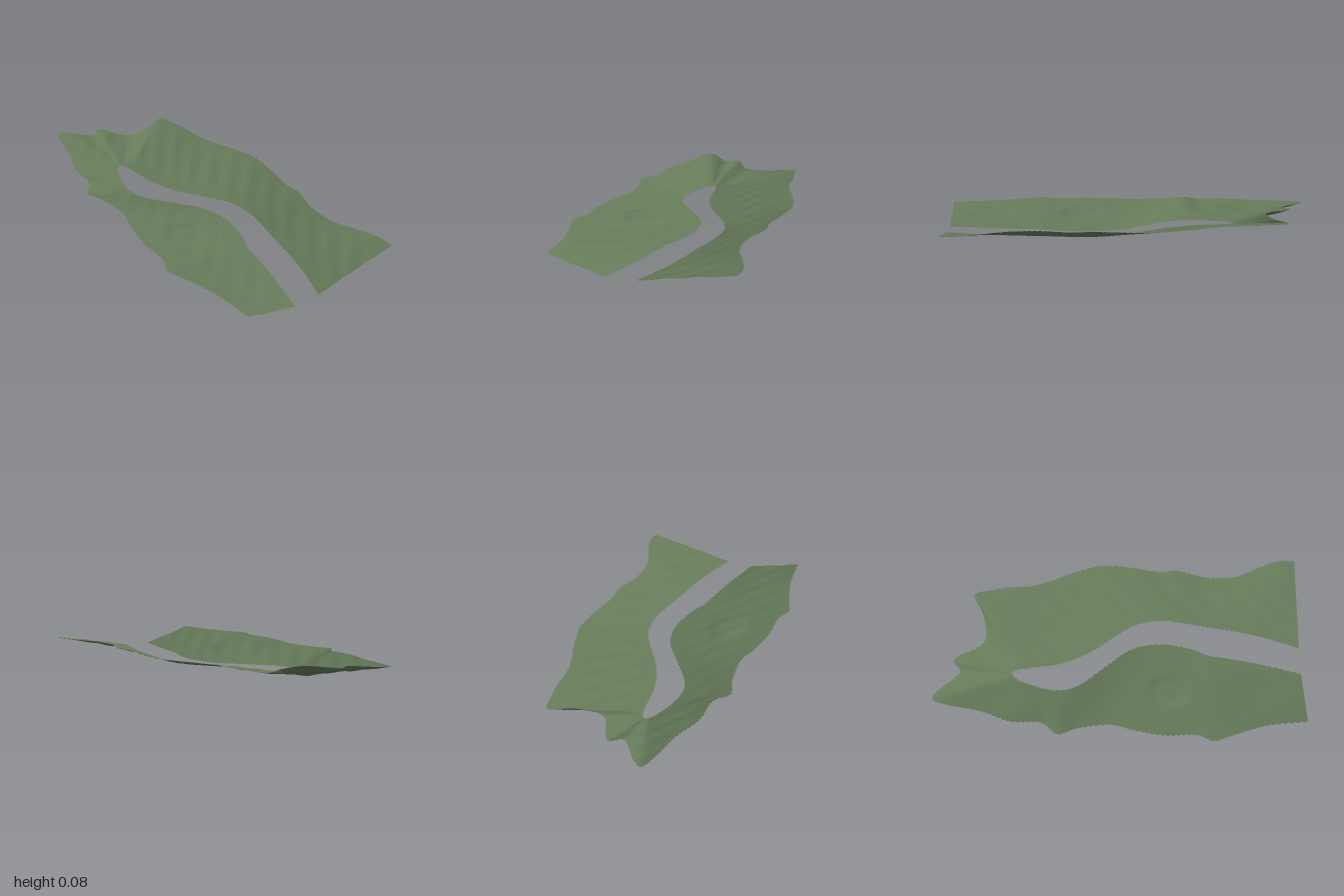
import * as THREE from 'three';

// Outer rim stations [x, z], from the front right-hand end around the back
const OUTER = [
  [-0.425, 1], [-0.44, 0.8], [-0.47, 0.67], [-0.5, 0.57], [-0.52, 0.49], [-0.485, 0.4],
  [-0.485, 0.24], [-0.455, 0.08], [-0.42, -0.05], [-0.435, -0.22], [-0.465, -0.33], [-0.4, -0.42],
  [-0.39, -0.58], [-0.33, -0.74], [-0.295, -0.9], [-0.26, -0.995], [-0.205, -0.965], [-0.11, -0.855],
  [-0.03, -0.885], [0.06, -0.73], [0.22, -0.735], [0.34, -0.785], [0.37, -0.69], [0.385, -0.58],
  [0.39, -0.47], [0.42, -0.36], [0.46, -0.25], [0.505, -0.08], [0.485, 0.11], [0.46, 0.24],
  [0.465, 0.35], [0.42, 0.5], [0.42, 0.66], [0.465, 0.78], [0.51, 0.9], [0.51, 1],
];

// Matching stations on the bank of the winding channel
const BANK = [
  [-0.13, 1], [-0.075, 0.8], [-0.045, 0.67], [-0.025, 0.57], [-0.01, 0.49], [0.03, 0.4],
  [0.06, 0.24], [0.035, 0.08], [-0.05, -0.05], [-0.165, -0.21], [-0.195, -0.32], [-0.18, -0.42],
  [-0.155, -0.49], [-0.14, -0.53], [-0.125, -0.555], [-0.115, -0.57], [-0.108, -0.576], [-0.1, -0.58],
  [-0.09, -0.58], [-0.08, -0.57], [-0.072, -0.55], [-0.068, -0.52], [-0.062, -0.48], [-0.056, -0.42],
  [-0.045, -0.33], [-0.01, -0.22], [0.04, -0.12], [0.12, 0], [0.18, 0.11], [0.2, 0.24],
  [0.185, 0.36], [0.155, 0.5], [0.125, 0.66], [0.095, 0.78], [0.06, 0.89], [0.02, 1],
];

const LOW = 0.006;
const HIGH = 0.09;
const ALONG = 420;
const ACROSS = 24;

const curveOf = (pts) =>
  new THREE.CatmullRomCurve3(pts.map(([x, z]) => new THREE.Vector3(x, 0, z)), false, 'catmullrom', 0.5);

// Diagonal ripples and one low knoll, fading out at both edges
function relief(x, z, t) {
  const fade = Math.sin(Math.PI * t);
  const ripple = 0.0022 * Math.sin(38 * (x + z) + 2 * Math.sin(5 * x)) +
    0.003 * Math.sin(9 * z - 6 * x);
  const r = Math.hypot((x + 0.23) / 0.11, (z - 0.27) / 0.13);
  const knoll = 0.012 * (1 - THREE.MathUtils.smoothstep(r, 0.5, 1.1));
  return fade * (ripple + knoll);
}

// Sloping banks: a sheet lofted from the channel up to the rim
function banksGeometry() {
  const outer = curveOf(OUTER);
  const bank = curveOf(BANK);
  const geometry = new THREE.PlaneGeometry(1, 1, ALONG, ACROSS);
  const pos = geometry.attributes.position;
  const uv = geometry.attributes.uv;
  const p = new THREE.Vector3();
  const q = new THREE.Vector3();
  const dir = new THREE.Vector3();

  for (let i = 0; i < pos.count; i++) {
    const u = uv.getX(i);
    const t = uv.getY(i);
    bank.getPoint(u, p);
    outer.getPoint(u, q);
    dir.subVectors(q, p).normalize();
    p.lerp(q, t);
    // Fine serration along both cut edges
    if (t < 0.001 || t > 0.999) {
      const column = Math.round(u * ALONG);
      p.addScaledVector(dir, column % 2 ? 0.004 : -0.004);
    }
    const y = LOW + (HIGH - LOW) * t + relief(p.x, p.z, t);
    pos.setXYZ(i, p.x, THREE.MathUtils.clamp(y, LOW, HIGH), THREE.MathUtils.clamp(p.z, -1, 1));
  }
  geometry.computeVertexNormals();
  return geometry;
}

export function createModel() {
  const group = new THREE.Group();
  group.name = 'riverValley';
  const grass = new THREE.MeshStandardMaterial({ color: 0x667a59, side: THREE.DoubleSide });
  grass.name = 'mossGreen';
  const banks = new THREE.Mesh(banksGeometry(), grass);
  banks.name = 'riverBanks';
  group.add(banks);
  return group;
}
